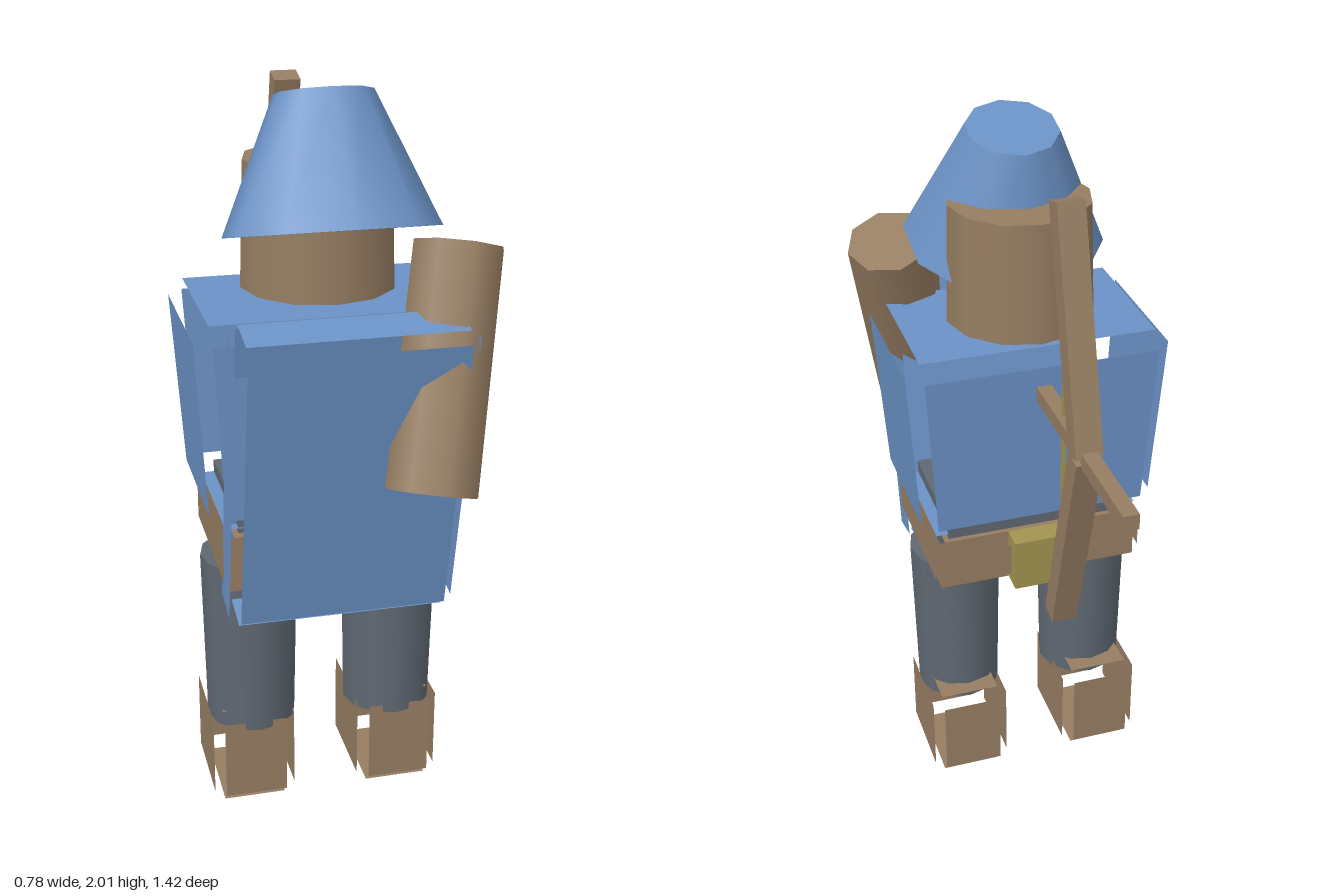
import * as THREE from 'three';
import { mergeGeometries } from 'three/addons/utils/BufferGeometryUtils.js';

const flat = (name, color) => new THREE.MeshStandardMaterial({ name, color, side: THREE.DoubleSide });

// Box made of six separate panels with open chamfered edges; taper narrows the bottom.
function panelBox(w, h, d, inset, taper = 1) {
  const i = inset * 2;
  const panel = (a, b, dist, rx, ry) =>
    new THREE.PlaneGeometry(a - i, b - i).translate(0, 0, dist / 2).rotateX(rx).rotateY(ry);
  const q = Math.PI / 2;
  const g = mergeGeometries([
    panel(w, h, d, 0, 0), panel(w, h, d, 0, 2 * q),
    panel(d, h, w, 0, q), panel(d, h, w, 0, -q),
    panel(w, d, h, -q, 0), panel(w, d, h, q, 0),
  ]);
  const p = g.attributes.position;
  for (let k = 0; k < p.count; k++) {
    const s = taper + (1 - taper) * (p.getY(k) / h + 0.5);
    p.setX(k, p.getX(k) * s);
    p.setZ(k, p.getZ(k) * s);
  }
  g.computeVertexNormals();
  return g;
}

export function createModel() {
  const model = new THREE.Group();
  const blue = flat('blueCloth', 0x6b92c6);
  const brown = flat('brownLeather', 0x967d62);
  const grey = flat('greyTrousers', 0x5f6872);
  const olive = flat('oliveBrass', 0xa39450);

  const add = (name, geometry, material, x, y, z) => {
    const m = new THREE.Mesh(geometry, material);
    m.name = name;
    m.position.set(x, y, z);
    model.add(m);
    return m;
  };
  // Stretches a unit-height part between two points
  const between = (mesh, a, b) => {
    const dir = b.clone().sub(a);
    mesh.scale.y = dir.length();
    mesh.position.copy(a).add(b).multiplyScalar(0.5);
    mesh.quaternion.setFromUnitVectors(new THREE.Vector3(0, 1, 0), dir.normalize());
  };
  const cx = -0.02;

  // Legs and boots
  for (const [side, x] of [['right', -0.22], ['left', 0.175]]) {
    add(side + 'Leg', new THREE.CylinderGeometry(0.135, 0.125, 0.5, 12), grey, x, 0.49, 0.195);
    add(side + 'Boot', panelBox(0.23, 0.29, 0.31, 0.028), brown, x + (x < 0 ? -0.01 : 0.01), 0.145, 0.155);
  }

  // Hips, belt and buckle
  add('hips', new THREE.BoxGeometry(0.52, 0.19, 0.37), grey, cx, 0.84, 0.19);
  add('belt', panelBox(0.61, 0.155, 0.47, 0.03), brown, cx, 0.807, 0.195);
  const band = new THREE.CylinderGeometry(1, 1, 0.155, 4, 1, true).rotateY(Math.PI / 4);
  band.scale(0.29 * Math.SQRT2, 1, 0.205 * Math.SQRT2);
  add('beltBand', band.toNonIndexed(), brown, cx, 0.807, 0.195).geometry.computeVertexNormals();
  add('buckle', new THREE.BoxGeometry(0.18, 0.155, 0.075), olive, cx, 0.807, -0.04);

  // Tunic and tilted pack on the +z side
  add('tunic', panelBox(0.74, 0.56, 0.5, 0.042, 0.9), blue, cx, 1.18, 0.193);
  add('backPanel', panelBox(0.6, 0.84, 0.16, 0.026), blue, cx, 1.068, 0.465).rotation.x = 0.2;

  // Head and tilted hat
  add('head', new THREE.CylinderGeometry(0.195, 0.205, 0.33, 12), brown, cx, 1.645, 0.165);
  add('hat', new THREE.CylinderGeometry(0.125, 0.275, 0.34, 10), blue, cx, 1.815, 0.265).rotation.x = -0.27;

  // Quiver
  between(add('quiver', new THREE.CylinderGeometry(0.118, 0.122, 1, 8), brown, 0, 0, 0),
    new THREE.Vector3(0.165, 1.055, 0.605), new THREE.Vector3(0.28, 1.625, 0.405));

  // Bow: two angled limbs, a string and an arrow shaft
  for (const [name, y] of [['upperLimb', 1.95], ['lowerLimb', 0.73]]) {
    between(add(name, new THREE.BoxGeometry(0.072, 1, 0.062), brown, 0, 0, 0),
      new THREE.Vector3(cx, 1.34, -0.385), new THREE.Vector3(cx, y, -0.215));
  }
  add('bowString', new THREE.BoxGeometry(0.01, 1.16, 0.01), olive, cx, 1.34, -0.215);
  add('arrowShaft', new THREE.BoxGeometry(0.042, 0.042, 0.68), brown, cx, 1.342, -0.36);

  return model;
}
